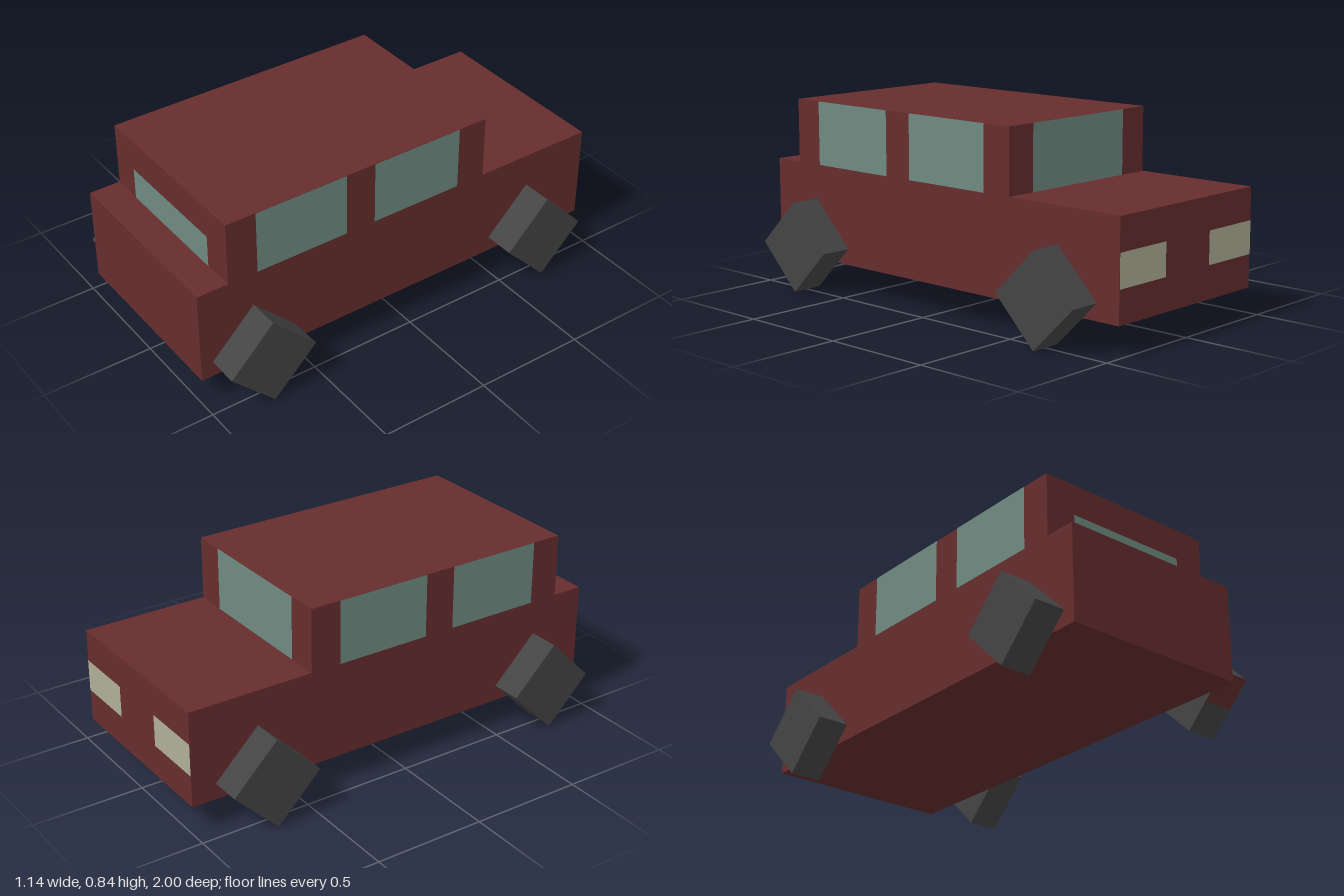
import * as THREE from 'three';

const material = (name, color) => {
  const m = new THREE.MeshStandardMaterial({ color });
  m.name = name;
  return m;
};

export function createModel() {
  const paint = material('dark red paint', 0x662c2d);
  const glass = material('green glass', 0x6f8a81);
  const rubber = material('dark grey rubber', 0x444444);
  const lamp = material('pale lamp', 0xafae98);

  const car = new THREE.Group();
  car.name = 'car';
  const GAP = 0.0015; // lifts painted panels off the surface below

  const add = (name, geometry, mat, x, y, z, parent = car) => {
    const mesh = new THREE.Mesh(geometry, mat);
    mesh.name = name;
    mesh.position.set(x, y, z);
    parent.add(mesh);
    return mesh;
  };

  // Body and cabin
  const W = 0.858, half = W / 2;
  const floor = 0.13, deck = 0.56, roof = 0.845;
  const cabinFront = 0.857, cabinBack = -0.428;
  add('body', new THREE.BoxGeometry(W, deck - floor, 2), paint, 0, (floor + deck) / 2, 0);
  add('cabin', new THREE.BoxGeometry(W, roof - deck, cabinFront - cabinBack), paint,
    0, (deck + roof) / 2, (cabinFront + cabinBack) / 2);

  // End windows: a low one at +z, a full height one at -z
  add('frontWindow', new THREE.PlaneGeometry(0.574, 0.145), glass, 0, deck + 0.0725, cabinFront + GAP);
  add('backWindow', new THREE.PlaneGeometry(0.574, roof - deck), glass,
    0, (deck + roof) / 2, cabinBack - GAP).rotation.y = Math.PI;

  for (const [side, s] of [['left', 1], ['right', -1]]) {
    // Two full height windows on each side
    for (const [end, z] of [['Front', 0.502], ['Back', -0.072]]) {
      add(side + end + 'SideWindow', new THREE.PlaneGeometry(0.434, roof - deck), glass,
        s * (half + GAP), (deck + roof) / 2, z).rotation.y = s * Math.PI / 2;
    }

    // Lamp at the outer edge of the back face
    add(side + 'Lamp', new THREE.PlaneGeometry(0.286, 0.144), lamp,
      s * (half - 0.143), 0.346, -1 - GAP).rotation.y = Math.PI;

    // Four-sided wheels standing on a corner
    for (const [end, z] of [['Front', 0.743], ['Back', -0.687]]) {
      const geometry = new THREE.CylinderGeometry(0.202, 0.202, 0.142, 4);
      geometry.rotateZ(Math.PI / 2);
      // creased edges: one normal per face
      const flat = geometry.toNonIndexed();
      flat.computeVertexNormals();
      add(side + end + 'Wheel', flat, rubber, s * 0.5, 0.202, z);
    }
  }

  // Red patch on the upper half of one wheel's lower face
  const edge = 0.202 * Math.SQRT2;
  const patch = add('wheelPatch', new THREE.PlaneGeometry(0.142, edge / 2), paint,
    0.5, 0.1515 - GAP, 0.743 + 0.1515 + GAP);
  patch.rotation.x = Math.PI / 4;

  return car;
}
